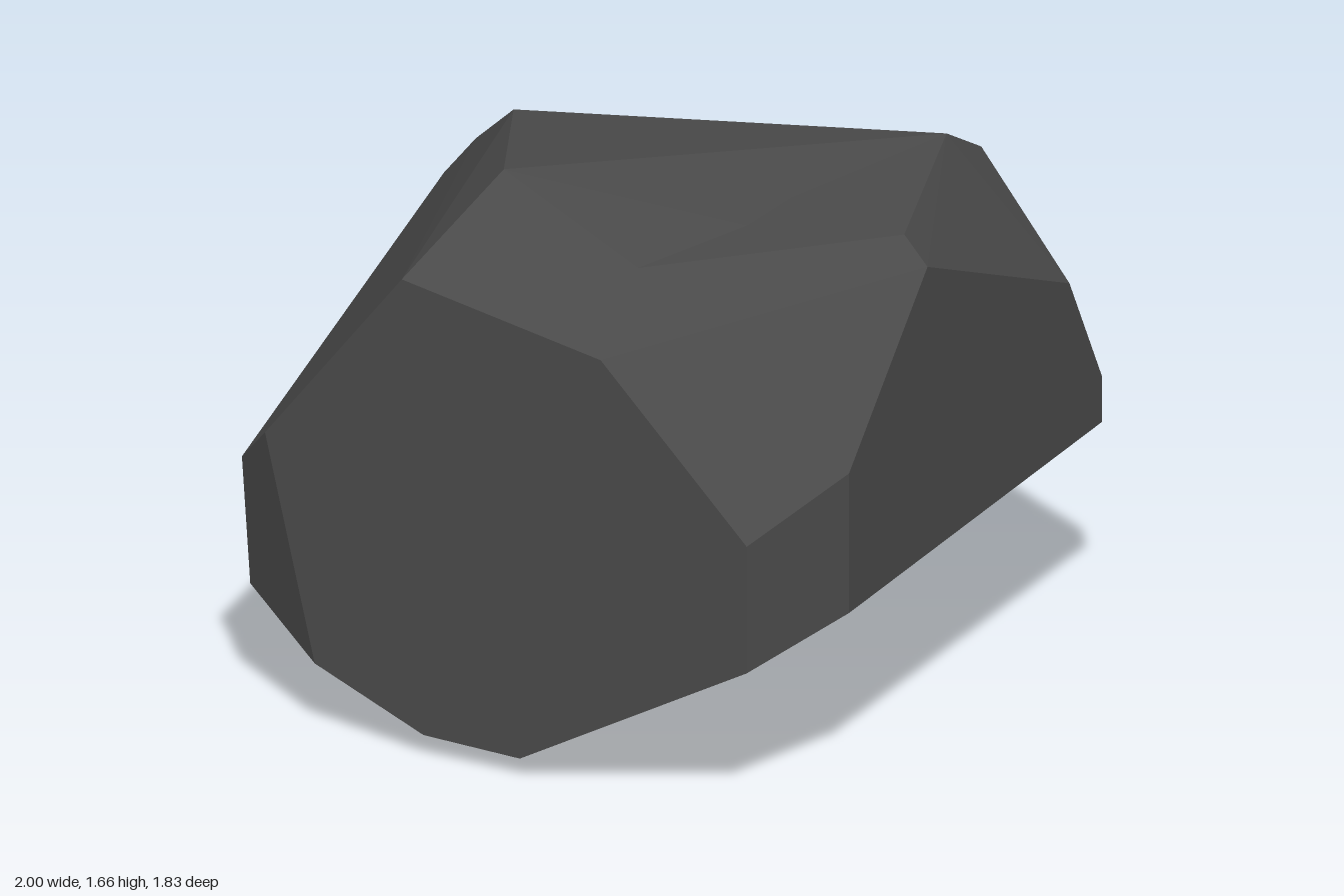
import * as THREE from 'three';
import { ConvexGeometry } from 'three/addons/geometries/ConvexGeometry.js';

// Corner points of the boulder
const front = 0.915, back = -0.915, left = 1, right = -0.83;
const v = (x, y, z) => new THREE.Vector3(x, y, z);

const frontCorners = [
  v(0.84, 0.47, front), v(0.84, 0.86, front), v(0.37, 1.34, front),
  v(-0.27, 1.46, front), v(-0.71, 0.9, front),
];
const leftCorners = [
  v(left, 0.57, 0.6), v(left, 1.0, 0.6), v(left, 1.46, 0.13),
  v(left, 1.09, -0.72), v(left, 0.73, back), v(left, 0.59, back),
];
const rightCorners = [
  v(right, 0.77, 0.83), v(right, 1.19, -0.38), v(right, 0.74, back), v(-0.69, 1.35, -0.31),
];
const backCorners = [
  v(-0.45, 1.0, back), v(0.58, 1.29, back), v(0.7, 1.44, -0.75),
];
const topCorners = [v(0.37, 1.54, 0.69), v(0.68, 1.54, -0.58), v(-0.45, 1.57, -0.09)];
const baseCorners = [
  v(right, 0.36, 0.78), v(-0.55, 0.22, front), v(-0.2, 0.07, front), v(0.11, 0.06, front),
  v(0.02, 0, 0.73), v(0.2, 0.12, -0.5), v(-0.73, 0.38, -0.63),
  v(right, 0.64, back), v(0.6, 0.37, back),
];
const shoulder = v(0.92, 1.54, 0.12);
const peak = v(-0.17, 1.66, 0.49);
const spur = v(-1, 0.57, -0.7);

export function createModel() {
  const rock = new THREE.MeshStandardMaterial({ color: 0x4a4a4a });
  rock.name = 'darkRock';
  const group = new THREE.Group();
  group.name = 'boulder';

  const addChunk = (name, points) => {
    const mesh = new THREE.Mesh(new ConvexGeometry(points), rock);
    mesh.name = name;
    group.add(mesh);
  };

  // Overlapping convex chunks leave shallow creases below the peak and above the spur
  const body = [...frontCorners, ...leftCorners, ...rightCorners, ...backCorners, ...topCorners, ...baseCorners];
  addChunk('flatShoulderChunk', [...body, shoulder]);
  addChunk('peakChunk', [...body, peak]);
  addChunk('lowerSpurChunk', [...baseCorners, spur]);
  return group;
}
